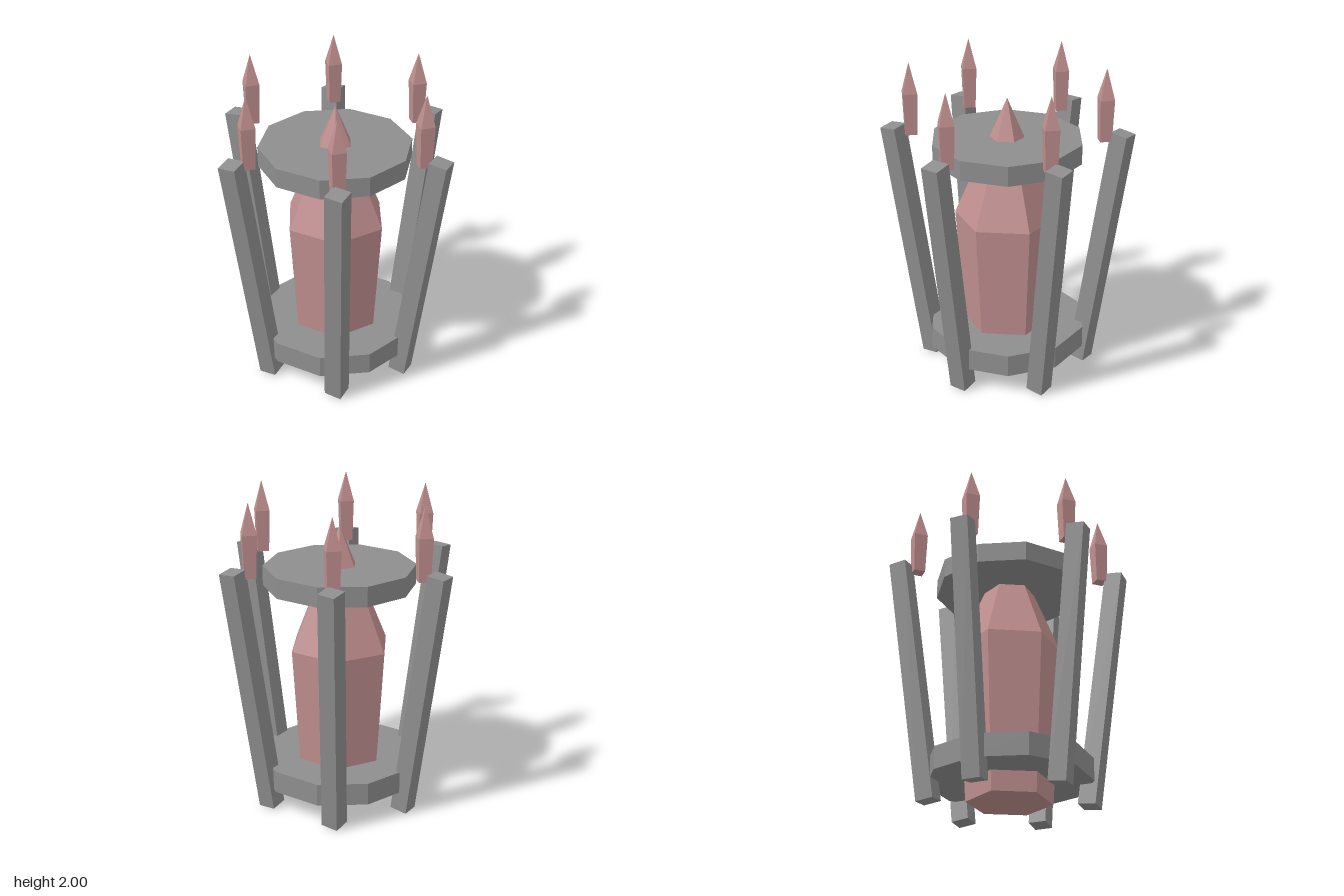
import * as THREE from 'three';

const stone = new THREE.MeshStandardMaterial({ color: 0x8e8e8e, flatShading: true });
stone.name = 'grey stone';
const crystal = new THREE.MeshStandardMaterial({ color: 0xc08f8f, flatShading: true });
crystal.name = 'pink crystal';

// Faceted prism or cone between two heights, with a corner on the +x axis
function prism(name, material, sides, rBottom, rTop, y0, y1, openEnded = false) {
  const geometry = new THREE.CylinderGeometry(rTop, rBottom, y1 - y0, sides, 1, openEnded, Math.PI / 2);
  const mesh = new THREE.Mesh(geometry, material);
  mesh.name = name;
  mesh.position.y = (y0 + y1) / 2;
  return mesh;
}

// Crystal with a flaring body and a pointed tip
function makeCrystal(name, sides, rBase, rShoulder, yBase, yShoulder, yTip) {
  const group = new THREE.Group();
  group.name = name;
  const profile = [[0, yBase], [rBase, yBase], [rShoulder, yShoulder], [0, yTip]]
    .map(([r, y]) => new THREE.Vector2(r, y));
  const mesh = new THREE.Mesh(new THREE.LatheGeometry(profile, sides, Math.PI / 2), crystal);
  mesh.name = name + 'Body';
  group.add(mesh);
  return group;
}

// Square post leaning outwards from foot to head
function makePost(angle) {
  const at = (r, y) => new THREE.Vector3(r * Math.cos(angle), y, r * Math.sin(angle));
  const foot = at(0.485, 0.011), head = at(0.705, 1.592);
  const axis = head.clone().sub(foot);
  const post = new THREE.Mesh(new THREE.BoxGeometry(0.113, axis.length(), 0.113), stone);
  post.name = 'leaningPost';
  post.position.copy(foot).add(head).multiplyScalar(0.5);
  post.quaternion.setFromUnitVectors(new THREE.Vector3(0, 1, 0), axis.normalize());
  return post;
}

export function createModel() {
  const model = new THREE.Group();
  model.name = 'crystalLantern';

  // Ten-sided plates
  model.add(prism('lowerPlate', stone, 10, 0.51, 0.51, 0.14, 0.283));
  model.add(prism('upperPlate', stone, 10, 0.475, 0.475, 1.42, 1.545));

  // Large central crystal
  model.add(makeCrystal('centralCrystal', 6, 0.265, 0.33, 0.015, 1.025, 1.795));

  // Ring of six posts, each with a small floating crystal
  for (let i = 0; i < 6; i++) {
    const angle = (i * Math.PI) / 3;
    model.add(makePost(angle));
    const shard = makeCrystal('floatingCrystal', 4, 0.051, 0.062, 1.545, 1.81, 2);
    shard.position.set(0.595 * Math.cos(angle), 0, 0.595 * Math.sin(angle));
    model.add(shard);
  }
  return model;
}
